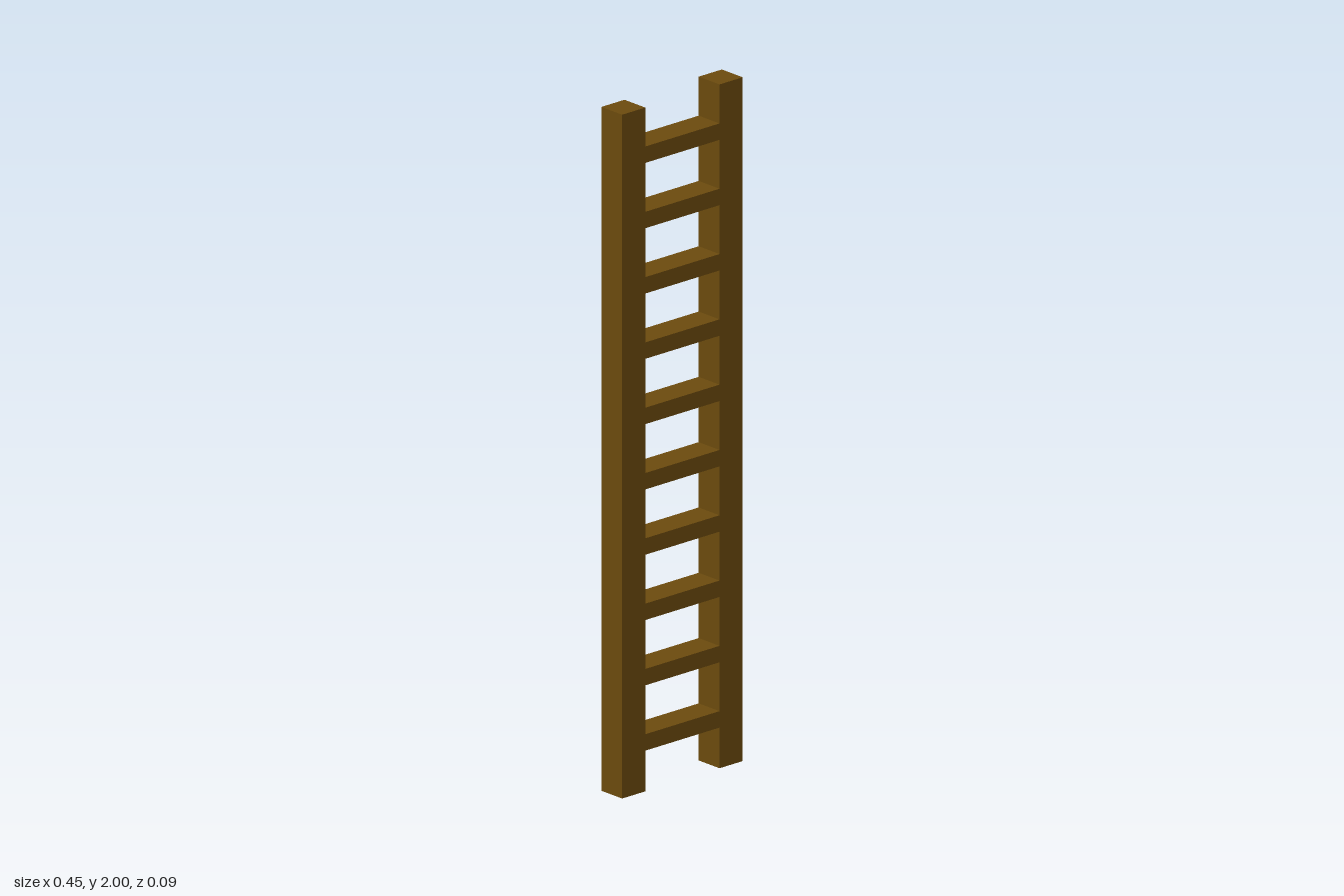
import * as THREE from 'three';

const HEIGHT = 2, WIDTH = 0.448, POST = 0.086, DEPTH = 0.085;
const RUNGS = 10, RUNG_HEIGHT = 0.048, FIRST_RUNG = 0.143, RUNG_STEP = 0.191;

export function createModel() {
  const ladder = new THREE.Group();
  ladder.name = 'ladder';
  const wood = new THREE.MeshStandardMaterial({ color: 0x6b4a0d });

  const addBox = (name, w, h, x, y) => {
    const mesh = new THREE.Mesh(new THREE.BoxGeometry(w, h, DEPTH), wood);
    mesh.name = name;
    mesh.position.set(x, y, 0);
    ladder.add(mesh);
  };

  // Upright side rails
  for (const [name, side] of [['leftRail', 1], ['rightRail', -1]]) {
    addBox(name, POST, HEIGHT, side * (WIDTH - POST) / 2, HEIGHT / 2);
  }

  // Evenly spaced rungs, flush with the rails
  for (let i = 0; i < RUNGS; i++) {
    addBox(`rung${i + 1}`, WIDTH - 2 * POST, RUNG_HEIGHT, 0, FIRST_RUNG + i * RUNG_STEP);
  }

  return ladder;
}
